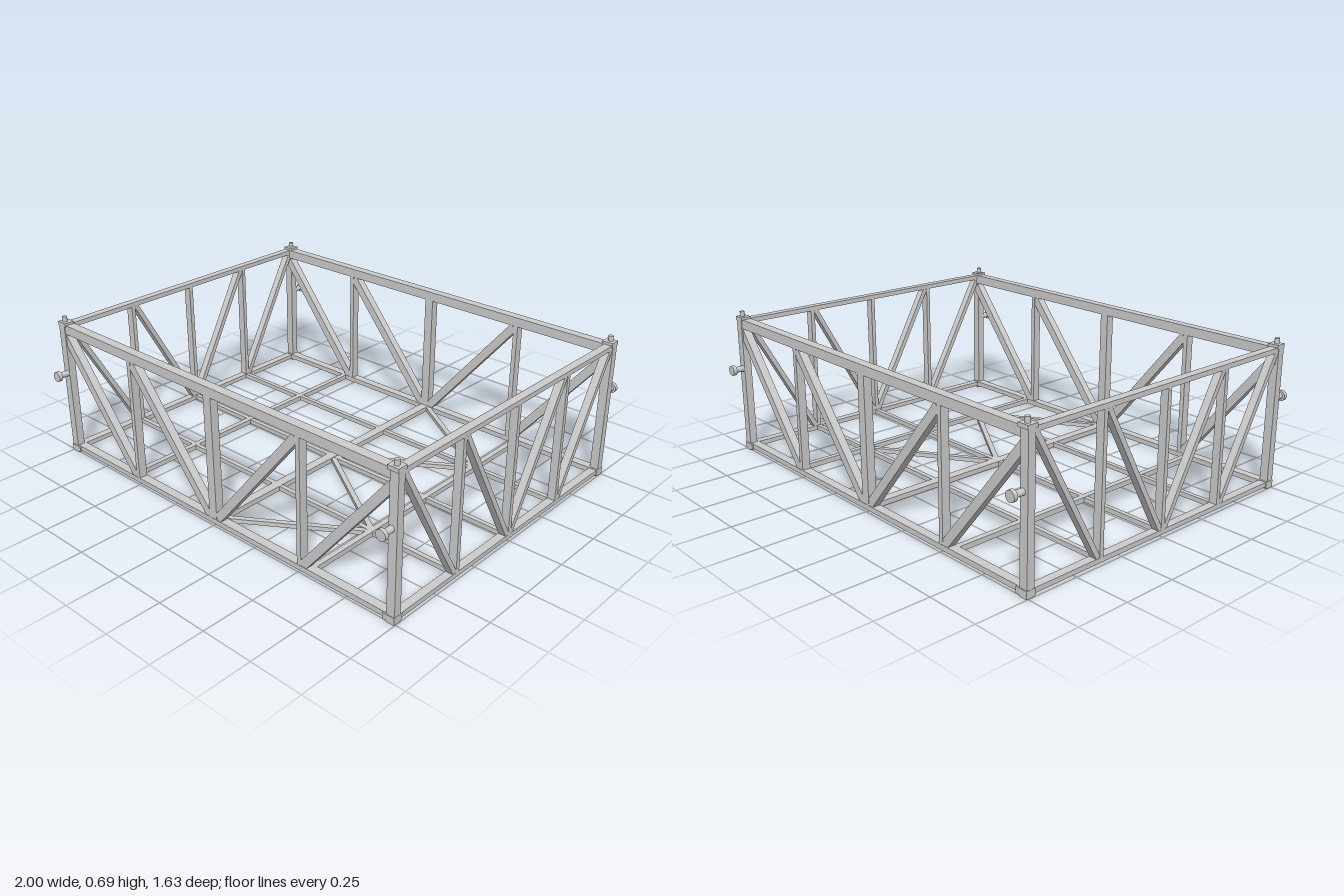
import * as THREE from 'three';

const steel = new THREE.MeshStandardMaterial({ color: 0xcccccc });

// Straight bar from a to b; `depth` is measured along the unit vector `axis`, `width` across it.
function bar(parent, name, a, b, width, depth, axis) {
  const start = new THREE.Vector3(...a), end = new THREE.Vector3(...b);
  const dir = end.clone().sub(start);
  const mesh = new THREE.Mesh(new THREE.BoxGeometry(width, dir.length(), depth), steel);
  dir.normalize();
  const z = new THREE.Vector3(...axis);
  const x = new THREE.Vector3().crossVectors(dir, z);
  mesh.quaternion.setFromRotationMatrix(new THREE.Matrix4().makeBasis(x, dir, z));
  mesh.position.copy(start).add(end).multiplyScalar(0.5);
  mesh.name = name;
  parent.add(mesh);
}

function block(parent, name, size, pos) {
  const mesh = new THREE.Mesh(new THREE.BoxGeometry(...size), steel);
  mesh.position.set(...pos);
  mesh.name = name;
  parent.add(mesh);
}

function rod(parent, name, radius, length, pos, alongZ) {
  const mesh = new THREE.Mesh(new THREE.CylinderGeometry(radius, radius, length, 24), steel);
  if (alongZ) mesh.rotation.x = Math.PI / 2;
  mesh.position.set(...pos);
  mesh.name = name;
  parent.add(mesh);
}

const X = [1, 0, 0], Y = [0, 1, 0], Z = [0, 0, 1];

// Long truss, front or back
function longTruss(side) {
  const g = new THREE.Group();
  g.name = side > 0 ? 'frontTruss' : 'backTruss';
  const z = side * 0.73;
  bar(g, 'topRail', [-0.98, 0.635, z], [0.98, 0.635, z], 0.044, 0.044, Z);
  bar(g, 'bottomRail', [-0.98, 0.024, z], [0.98, 0.024, z], 0.024, 0.042, Z);
  bar(g, 'centrePost', [0, 0.012, z], [0, 0.615, z], 0.044, 0.04, Z);
  for (const s of [-1, 1]) {
    bar(g, 'innerPost', [s * 0.506, 0.03, z], [s * 0.506, 0.615, z], 0.022, 0.04, Z);
    bar(g, 'outerDiagonal', [s * 0.972, 0.595, z], [s * 0.516, 0.03, z], 0.04, 0.038, Z);
    bar(g, 'innerDiagonal', [s * 0.494, 0.605, z], [s * 0.016, 0.03, z], 0.04, 0.038, Z);
  }
  return g;
}

// End truss, left or right
function endTruss(side) {
  const g = new THREE.Group();
  g.name = side > 0 ? 'leftTruss' : 'rightTruss';
  const x = side * 0.978;
  bar(g, 'topRail', [x, 0.645, -0.73], [x, 0.645, 0.73], 0.022, 0.038, X);
  bar(g, 'bottomRail', [x, 0.023, -0.73], [x, 0.023, 0.73], 0.022, 0.038, X);
  for (const z of [-0.362, 0, 0.362])
    bar(g, 'innerPost', [x, 0.03, z], [x, 0.636, z], 0.02, 0.038, X);
  for (const s of [-1, 1]) {
    bar(g, 'outerDiagonal', [x, 0.635, s * 0.712], [x, 0.032, s * 0.376], 0.023, 0.036, X);
    bar(g, 'innerDiagonal', [x, 0.635, s * 0.344], [x, 0.032, s * 0.012], 0.023, 0.036, X);
  }
  return g;
}

// Corner column with foot, cap, locating pin and lifting trunnion
function corner(sx, sz) {
  const g = new THREE.Group();
  g.name = 'corner';
  const x = sx * 0.979, z = sz * 0.737;
  block(g, 'cornerPost', [0.04, 0.655, 0.036], [x, 0.333, z]);
  block(g, 'footPlate', [0.058, 0.028, 0.048], [sx * 0.971, 0.021, sz * 0.734]);
  block(g, 'foot', [0.04, 0.02, 0.04], [x, 0.01, z]);
  block(g, 'capPlate', [0.052, 0.018, 0.048], [sx * 0.974, 0.659, sz * 0.734]);
  rod(g, 'locatingPin', 0.011, 0.03, [sx * 0.975, 0.677, sz * 0.737], false);
  rod(g, 'trunnion', 0.014, 0.07, [sx * 0.973, 0.415, sz * 0.775], true);
  rod(g, 'trunnionFlange', 0.024, 0.018, [sx * 0.973, 0.415, sz * 0.808], true);
  return g;
}

// Floor grid with zigzag bracing on one half
function floor() {
  const g = new THREE.Group();
  g.name = 'floor';
  const y = 0.024;
  for (const z of [-0.362, 0, 0.362])
    bar(g, 'floorStringer', [-0.965, y, z], [0.965, y, z], 0.022, 0.022, Y);
  for (const [x, w] of [[-0.558, 0.026], [0, 0.044], [0.555, 0.026]])
    bar(g, 'floorCrossbar', [x, y, -0.715], [x, y, 0.715], w, 0.024, Y);
  for (const s of [-1, 1]) {
    bar(g, 'floorBrace', [0.012, y, s * 0.715], [0.55, y, s * 0.368], 0.024, 0.02, Y);
    bar(g, 'floorBrace', [0.012, y, s * 0.006], [0.55, y, s * 0.356], 0.024, 0.02, Y);
  }
  return g;
}

export function createModel() {
  const model = new THREE.Group();
  model.name = 'trussFrame';
  model.add(floor());
  for (const s of [-1, 1]) {
    model.add(longTruss(s), endTruss(s));
    for (const t of [-1, 1]) model.add(corner(s, t));
  }
  return model;
}
